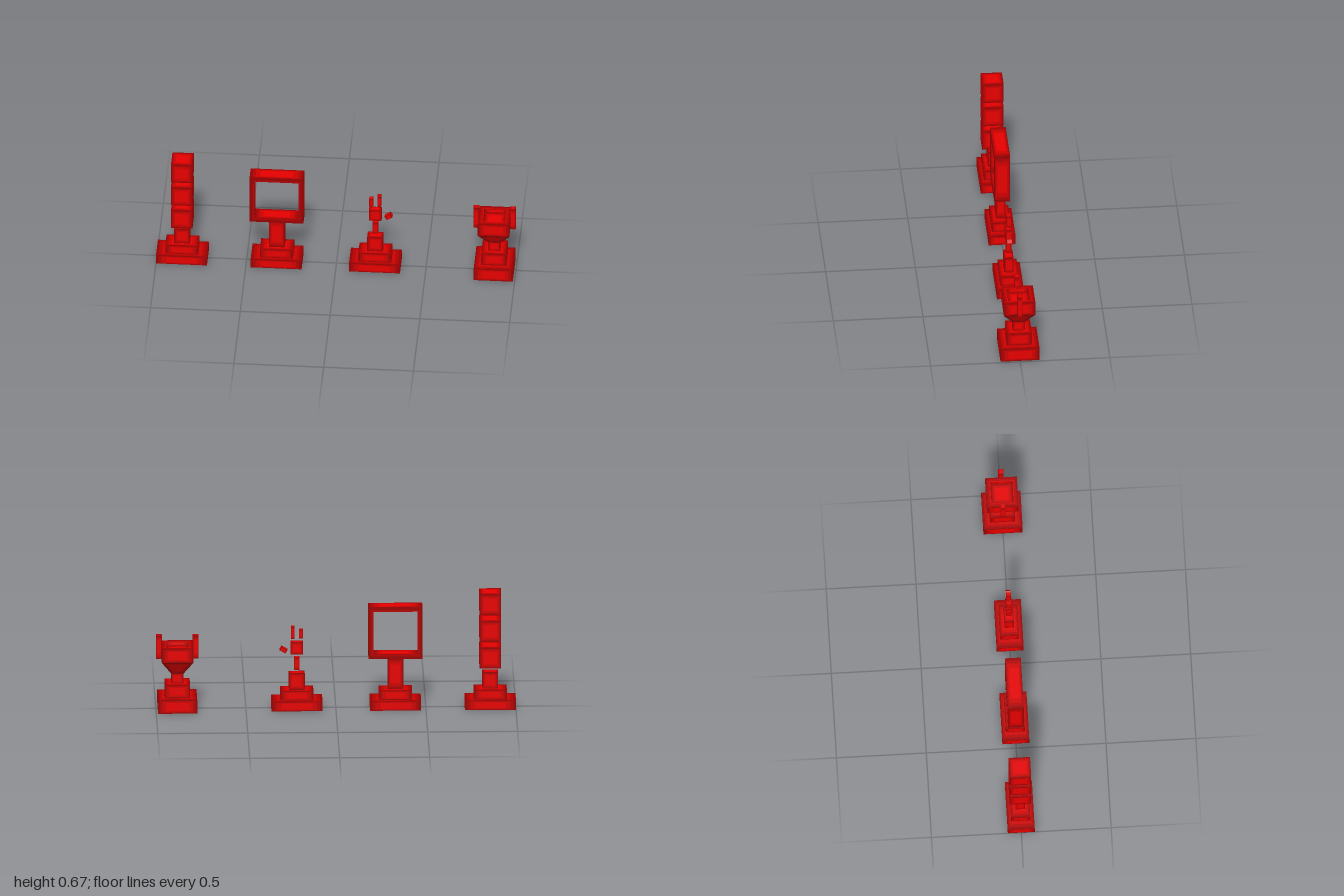
import * as THREE from 'three';

// Reds running from the worn dark border of a face to its bright centre
const reds = [['edge red', 0x980000], ['border red', 0xb40000], ['inner red', 0xd00000], ['bright red', 0xe70000]]
  .map(([name, color]) => {
    const m = new THREE.MeshStandardMaterial({ color });
    m.name = name;
    return m;
  });
const bands = [0, 0.05, 0.11, 0.2, 0.5]; // band limits as a share of the face

// Rectangle of four corners at height y, anticlockwise from above
const loop = (hx, hz, y) => [[-1, 1], [1, 1], [1, -1], [-1, -1]]
  .map(([x, z]) => new THREE.Vector3(x * hx, y, z * hz));
const flip = (l) => [...l].reverse();
const wall = (lo, hi) => lo.map((p, i) => {
  const j = (i + 1) % 4;
  return { corners: [p, lo[j], hi[j], hi[i]] };
});

// Mesh of four-cornered faces, each with concentric bands; limit leaves a hole
function bandedMesh(parent, name, faces) {
  const positions = [];
  const geo = new THREE.BufferGeometry();
  reds.forEach((_, band) => {
    const start = positions.length / 3;
    for (const { corners, limit = 0.5 } of faces) {
      const t0 = bands[band], t1 = Math.min(bands[band + 1], limit);
      if (t1 <= t0) continue;
      const centre = corners.reduce((s, p) => s.add(p), new THREE.Vector3()).divideScalar(4);
      const outer = corners.map((p) => p.clone().lerp(centre, 2 * t0));
      const inner = corners.map((p) => p.clone().lerp(centre, 2 * t1));
      for (let i = 0; i < 4; i++) {
        const j = (i + 1) % 4;
        const points = [outer[i], outer[j], inner[j]];
        if (t1 < 0.5) points.push(outer[i], inner[j], inner[i]);
        for (const p of points) positions.push(p.x, p.y, p.z);
      }
    }
    geo.addGroup(start, positions.length / 3 - start, band);
  });
  geo.setAttribute('position', new THREE.Float32BufferAttribute(positions, 3));
  geo.computeVertexNormals();
  const mesh = new THREE.Mesh(geo, reds);
  mesh.name = name;
  parent.add(mesh);
  return mesh;
}

// Box centred on x and z, resting at height y0
function block(parent, name, w, h, d, y0, x = 0) {
  const lo = loop(w / 2, d / 2, -h / 2), hi = loop(w / 2, d / 2, h / 2);
  const mesh = bandedMesh(parent, name, [...wall(lo, hi), { corners: hi }, { corners: flip(lo) }]);
  mesh.position.set(x, y0 + h / 2, 0);
  return mesh;
}

function trophy(parent, name, x) {
  const g = new THREE.Group();
  g.name = name;
  g.position.x = x;
  parent.add(g);
  return g;
}

// Two-step oblong plinth with a post
function plinth(g, postTop) {
  block(g, 'base', 0.284, 0.055, 0.15, 0);
  block(g, 'step', 0.184, 0.055, 0.106, 0.055);
  block(g, 'post', 0.088, postTop - 0.11, 0.052, 0.11);
}

export function createModel() {
  const model = new THREE.Group();
  model.name = 'trophySet';

  // Trophy with three floating cubes
  const cubes = trophy(model, 'cubeTrophy', -0.858);
  plinth(cubes, 0.205);
  for (let i = 0; i < 3; i++) block(cubes, 'cube', 0.12, 0.12, 0.12, 0.236 + i * 0.155);

  // Trophy with an open square frame, built lying down and stood upright
  const ring = trophy(model, 'frameTrophy', -0.331);
  plinth(ring, 0.29);
  const [back, front] = [-0.044, 0.044].map((y) => loop(0.15, 0.15, y));
  const [backHole, frontHole] = [-0.044, 0.044].map((y) => loop(0.123, 0.123, y));
  const frame = bandedMesh(ring, 'squareFrame', [
    ...wall(back, front), ...wall(frontHole, backHole),
    { corners: front, limit: 0.09 }, { corners: flip(back), limit: 0.09 },
  ]);
  frame.rotation.x = Math.PI / 2;
  frame.position.y = 0.44;

  // Trophy with a small hand of loose blocks
  const hand = trophy(model, 'handTrophy', 0.217);
  plinth(hand, 0.205);
  block(hand, 'wrist', 0.032, 0.072, 0.03, 0.222);
  block(hand, 'palm', 0.07, 0.07, 0.036, 0.312);
  block(hand, 'shortFinger', 0.022, 0.05, 0.028, 0.404, -0.023);
  block(hand, 'longFinger', 0.02, 0.07, 0.028, 0.402, 0.022);
  const thumb = block(hand, 'thumb', 0.038, 0.023, 0.028, 0.325, 0.074);
  thumb.rotation.z = Math.PI / 6;

  // Square cup trophy with a flared bowl and a shallow recess
  const cupTrophy = trophy(model, 'cupTrophy', 0.881);
  block(cupTrophy, 'base', 0.218, 0.078, 0.218, 0);
  block(cupTrophy, 'step', 0.14, 0.075, 0.14, 0.078);
  block(cupTrophy, 'neck', 0.068, 0.059, 0.068, 0.153);
  const [stem, flare, rim, mouth, floor] = [[0.034, 0.21], [0.088, 0.288], [0.088, 0.368],
    [0.0616, 0.368], [0.06, 0.345]].map(([r, y]) => loop(r, r, y));
  bandedMesh(cupTrophy, 'cup', [
    ...wall(stem, flare), ...wall(flare, rim), ...wall(mouth, floor),
    { corners: rim, limit: 0.15 }, { corners: floor },
  ]);
  for (const s of [-1, 1]) block(cupTrophy, 'handle', 0.032, 0.135, 0.028, 0.29, s * 0.102);

  return model;
}
